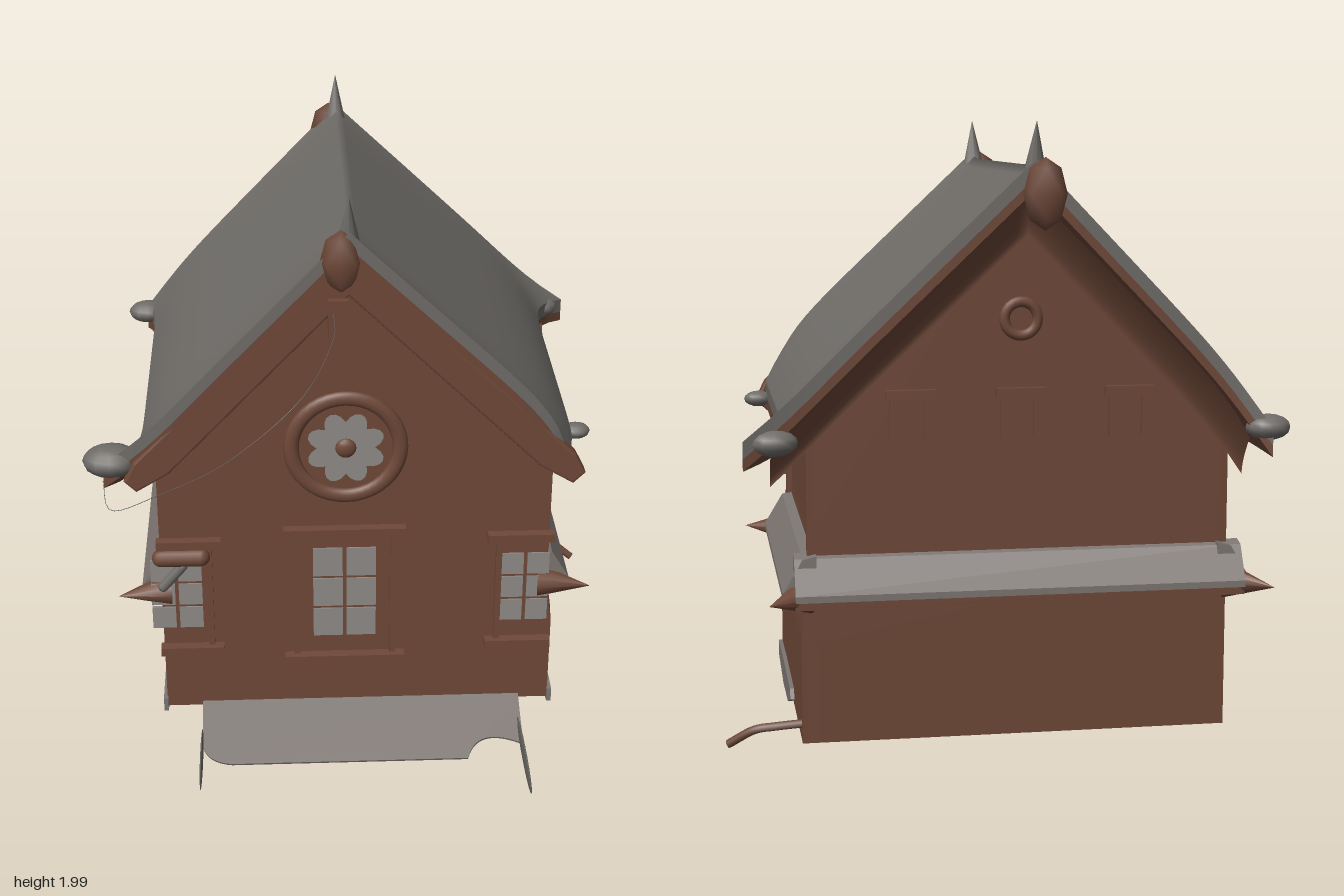
import * as THREE from 'three';
import { ParametricGeometry } from 'three/addons/geometries/ParametricGeometry.js';

const mat = (name, color) => new THREE.MeshStandardMaterial({ name, color, side: THREE.DoubleSide });

export function createModel() {
  const house = new THREE.Group();
  house.name = 'house';
  const brown = mat('brown wood', 0x6e4838);
  const gray = mat('gray slate', 0x6f6c68);
  const pale = mat('pale stone', 0x7d7672);
  const glass = mat('window glass', 0x8f8b87);

  const add = (name, geo, material, x = 0, y = 0, z = 0, parent = house) => {
    const m = new THREE.Mesh(geo, material);
    m.name = name;
    m.position.set(x, y, z);
    parent.add(m);
    return m;
  };
  const box = (name, w, h, d, material, x, y, z, parent) =>
    add(name, new THREE.BoxGeometry(w, h, d), material, x, y, z, parent);
  const sheet = (name, material, nu, nv, fn) => add(name, new ParametricGeometry(fn, nu, nv), material);
  const polygon = (pts) => new THREE.Shape(pts.map(([x, y]) => new THREE.Vector2(x, y)));
  const extrude = (shape, depth, bevel = 0) => new THREE.ExtrudeGeometry(shape, {
    depth, bevelEnabled: bevel > 0, bevelSize: bevel, bevelThickness: bevel, bevelSegments: 2, curveSegments: 20,
  });
  const vec = (x, y, z) => new THREE.Vector3(x, y, z);

  // Open-bottomed wall shell, slightly narrower at the top
  const gable = polygon([[-0.64, 0.15], [0.66, 0.15], [0.66, 0.45], [0.62, 0.8], [0.62, 1.14], [-0.02, 1.8], [-0.62, 1.14], [-0.62, 0.7], [-0.64, 0.45]]);
  add('frontWall', new THREE.ShapeGeometry(gable), brown, 0, 0, 0.295);
  add('backWall', new THREE.ShapeGeometry(gable), brown, 0, 0, -0.74);
  for (const [low, high] of [[0.66, 0.62], [-0.64, -0.62]]) {
    sheet('sideWall', brown, 2, 16, (u, v, p) => p.set(
      low + (high - low) * THREE.MathUtils.smoothstep(v, 0.3, 0.65), 0.15 + 0.98 * v, 0.295 - 1.035 * u));
  }

  // Roof surface: s runs across (-1..1), e runs from front (1) to back (-1)
  const roofPoint = (s, e, drop, p) => {
    const a = Math.abs(s);
    const end = Math.abs(e) ** 10;
    const corner = a ** 14 * end;
    const flare = e > 0 ? (s > 0 ? -0.03 : 0.12) : (s > 0 ? 0.12 : 0.04);
    p.set(
      -0.02 * (1 - a) + Math.sign(s) * (a * (s > 0 ? 0.71 : 0.685) + flare * corner),
      1.87 - 0.67 * a - 0.07 * a ** 10 + 0.02 * end * (1 - a) - 0.03 * corner - drop,
      -0.27 + 0.61 * e - (e > 0 ? 0.03 : 0.04) * corner,
    );
  };
  for (const [name, material, drop] of [['roofTop', gray, 0], ['roofUnderside', brown, 0.085]]) {
    sheet(name, material, 50, 40, (u, v, p) => roofPoint(2 * u - 1, 1 - 2 * v, drop, p));
  }
  for (const [name, material, top, bottom] of [['roofEdge', gray, 0, 0.05], ['roofEdgeTrim', brown, 0.05, 0.085]]) {
    for (const side of [-1, 1]) {
      sheet(name, material, 50, 1, (u, v, p) => roofPoint(2 * u - 1, side, top + (bottom - top) * v, p));
      sheet(name, material, 40, 1, (u, v, p) => roofPoint(side, 2 * u - 1, top + (bottom - top) * v, p));
    }
  }

  // Front bargeboard, and a cove that carries the back gable out to the roof edge
  const board = polygon([[-0.02, 1.81], [0.7, 1.11], [0.73, 1.05], [0.7, 1.02], [0.6, 1.08], [-0.02, 1.69], [-0.6, 1.08], [-0.7, 1.02], [-0.73, 1.05], [-0.7, 1.11]]);
  add('frontBargeboard', extrude(board, 0.035, 0.008), brown, 0, 0, 0.295);
  sheet('backCove', brown, 40, 6, (u, v, p) => {
    roofPoint((2 * u - 1) * 0.97, -0.97, 0.06 + 0.16 * v, p);
    p.z = -0.74 - 0.12 * (1 - v) ** 1.6;
  });

  // Finials and ridge horns on both gables
  for (const [z, out] of [[0.33, 1], [-0.88, -1]]) {
    const finial = add('finial', new THREE.OctahedronGeometry(0.1, 1), brown, -0.045, 1.79, z);
    finial.scale.set(0.65, 1.05, 0.38);
    const horn = add('ridgeHorn', new THREE.ConeGeometry(0.04, 0.18, 10), gray, -0.02, 1.91, z - out * 0.02);
    horn.rotation.x = out * 0.18;
  }
  box('finialBracket', 0.06, 0.13, 0.06, brown, -0.055, 1.61, 0.33);

  // Lumps at the eaves
  for (const [x, y, z, r] of [[-0.78, 1.1, 0.28, 0.08], [0.74, 1.08, 0.1, 0.04], [-0.72, 1.1, -0.88, 0.06], [0.74, 1.09, -0.89, 0.06]]) {
    add('eaveLump', new THREE.SphereGeometry(r, 12, 8), gray, x, y, z).scale.set(1.15, 0.65, 0.9);
  }

  // Round flower window
  const rose = new THREE.Group();
  rose.name = 'roseWindow';
  rose.position.set(-0.03, 1.14, 0.3);
  house.add(rose);
  add('roseFrame', new THREE.TorusGeometry(0.175, 0.025, 10, 40), brown, 0, 0, 0, rose).scale.z = 0.7;
  for (let i = 0; i < 8; i++) {
    const a = (i + 0.5) * Math.PI / 4;
    const petal = add('rosePetal', new THREE.CircleGeometry(0.048, 14), glass,
      0.076 * Math.cos(a), 0.076 * Math.sin(a), 0.004, rose);
    petal.scale.set(1.1, 0.76, 1);
    petal.rotation.z = a;
  }
  add('roseHub', new THREE.SphereGeometry(0.034, 14, 8), brown, 0, 0, 0.004, rose).scale.z = 0.5;

  // Framed windows with two columns and three rows of panes, seen from both sides
  const paneWindow = (name, x, y, w, h, frameL, frameR) => {
    const g = new THREE.Group();
    g.name = name;
    g.position.set(x, y, 0.295);
    house.add(g);
    for (let c = 0; c < 2; c++) for (let r = 0; r < 3; r++) {
      box('pane', w / 2 - 0.012, h / 3 - 0.01, 0.0095, glass, (c - 0.5) * w / 2, (r - 1) * h / 3, 0, g);
    }
    const mid = (frameR - frameL) / 2;
    const width = frameL + frameR;
    box('lintel', width, 0.03, 0.035, brown, mid, h / 2 + 0.065, 0.015, g);
    box('sill', width, 0.03, 0.04, brown, mid, -h / 2 - 0.075, 0.015, g);
    for (const jx of [-frameL + 0.04, frameR - 0.04]) {
      if (Math.abs(jx) > w / 2) box('jamb', 0.02, h + 0.12, 0.015, brown, jx, 0, 0.008, g);
    }
  };
  paneWindow('middleWindow', -0.035, 0.595, 0.22, 0.35, 0.2, 0.2);
  paneWindow('leftWindow', 0.565, 0.6, 0.17, 0.27, 0.13, 0.09);
  paneWindow('rightWindow', -0.59, 0.6, 0.18, 0.27, 0.06, 0.15);
  add('windowHood', new THREE.CapsuleGeometry(0.03, 0.13, 4, 10).rotateZ(Math.PI / 2), brown, -0.57, 0.755, 0.32);
  const hoodArm = add('hoodArm', new THREE.CapsuleGeometry(0.018, 0.1, 4, 8), gray, -0.6, 0.68, 0.315);
  hoodArm.rotation.z = -0.7;

  // Raised brown frames on the back gable
  for (const x of [-0.33, 0, 0.33]) {
    box('backLintel', 0.15, 0.03, 0.025, brown, x, 1.2, -0.75);
    for (const s of [-1, 1]) box('backJamb', 0.025, 0.13, 0.02, brown, x + s * 0.05, 1.13, -0.745);
  }
  add('backRoundFrame', new THREE.TorusGeometry(0.05, 0.016, 8, 24), brown, 0, 1.42, -0.745);

  // Sloping belt roof around the sides and back
  const beltProfile = polygon([[-0.02, 0.73], [0.02, 0.72], [0.08, 0.62], [0.08, 0.6], [-0.02, 0.6]]);
  const belt = (length, x, z, turn) => {
    const g = new THREE.Group();
    g.name = 'beltRoof';
    g.position.set(x, 0, z);
    g.rotation.y = turn;
    house.add(g);
    add('beltSlates', extrude(beltProfile, length), pale, 0, 0, -length / 2, g);
    box('beltMoulding', 0.09, 0.025, length, brown, 0.025, 0.588, 0, g);
  };
  belt(1.05, 0.635, -0.25, 0);
  belt(1.05, -0.625, -0.25, Math.PI);
  belt(1.36, 0, -0.74, Math.PI / 2);

  // Pointed belt corners and wall corner posts
  for (const s of [-1, 1]) {
    for (const [z, turn] of [[0.29, 0.25], [-0.8, -0.8]]) {
      const knob = new THREE.Group();
      knob.name = 'beltCorner';
      knob.position.set(s * 0.7, 0.605, z);
      knob.rotation.y = s > 0 ? -turn : Math.PI + turn;
      house.add(knob);
      add('cornerPoint', new THREE.ConeGeometry(0.055, 0.17, 10).rotateZ(-Math.PI / 2), brown, 0, 0, 0, knob);
    }
    for (const z of [0.28, -0.725]) box('cornerPost', 0.03, 0.96, 0.03, brown, s * 0.625, 0.63, z);
  }

  // Sloping ground sheet at the front, with thin upright slivers
  const apron = new THREE.Shape();
  apron.moveTo(-0.52, 0);
  apron.lineTo(-0.52, -0.17);
  apron.quadraticCurveTo(-0.51, -0.24, -0.42, -0.25);
  apron.lineTo(0.37, -0.25);
  apron.bezierCurveTo(0.4, -0.15, 0.48, -0.16, 0.56, -0.2);
  apron.lineTo(0.56, 0);
  add('frontApron', extrude(apron, 0.008), pale, 0, 0.16, 0.295).rotation.x = -1.18;
  for (const [x, z, len] of [[0.55, 0.58, 0.42], [-0.52, 0.56, 0.32]]) {
    add('apronSliver', new THREE.SphereGeometry(0.5, 14, 8), gray, x, 0.12, z).scale.set(0.01, 0.075, len);
  }

  // Pale footing along the side walls
  for (const [x, low] of [[0.665, 0.11], [-0.645, 0.13]]) {
    const foot = polygon([[0.31, 0.19], [0.31, 0.14], [0.05, low], [-0.2, low + 0.01], [-0.35, 0.17], [-0.33, 0.2], [0.05, 0.2]]);
    add('sideFooting', extrude(foot, 0.015).rotateY(-Math.PI / 2), pale, x + 0.008, 0, 0);
  }

  // Rear corner twig and fine stray wires
  const tube = (name, pts, r, material) => add(name,
    new THREE.TubeGeometry(new THREE.CatmullRomCurve3(pts), 32, r, 5), material);
  tube('twig', [vec(0.64, 0.2, -0.7), vec(0.74, 0.19, -0.69), vec(0.8, 0.18, -0.68), vec(0.88, 0.13, -0.65)], 0.014, brown);
  tube('strayWire', [vec(-0.07, 1.66, 0.42), vec(-0.08, 1.68, 0.65), vec(-0.18, 1.62, 0.91), vec(-0.38, 1.45, 0.94),
    vec(-0.6, 1.25, 0.78), vec(-0.76, 1.1, 0.6), vec(-0.8, 1.08, 0.38)], 0.001, gray);
  tube('strayWire', [vec(0.62, 0.12, 0.1), vec(0.62, 0.01, -0.05), vec(0.61, 0.03, -0.2), vec(0.6, 0.12, -0.36)], 0.001, gray);

  return house;
}
